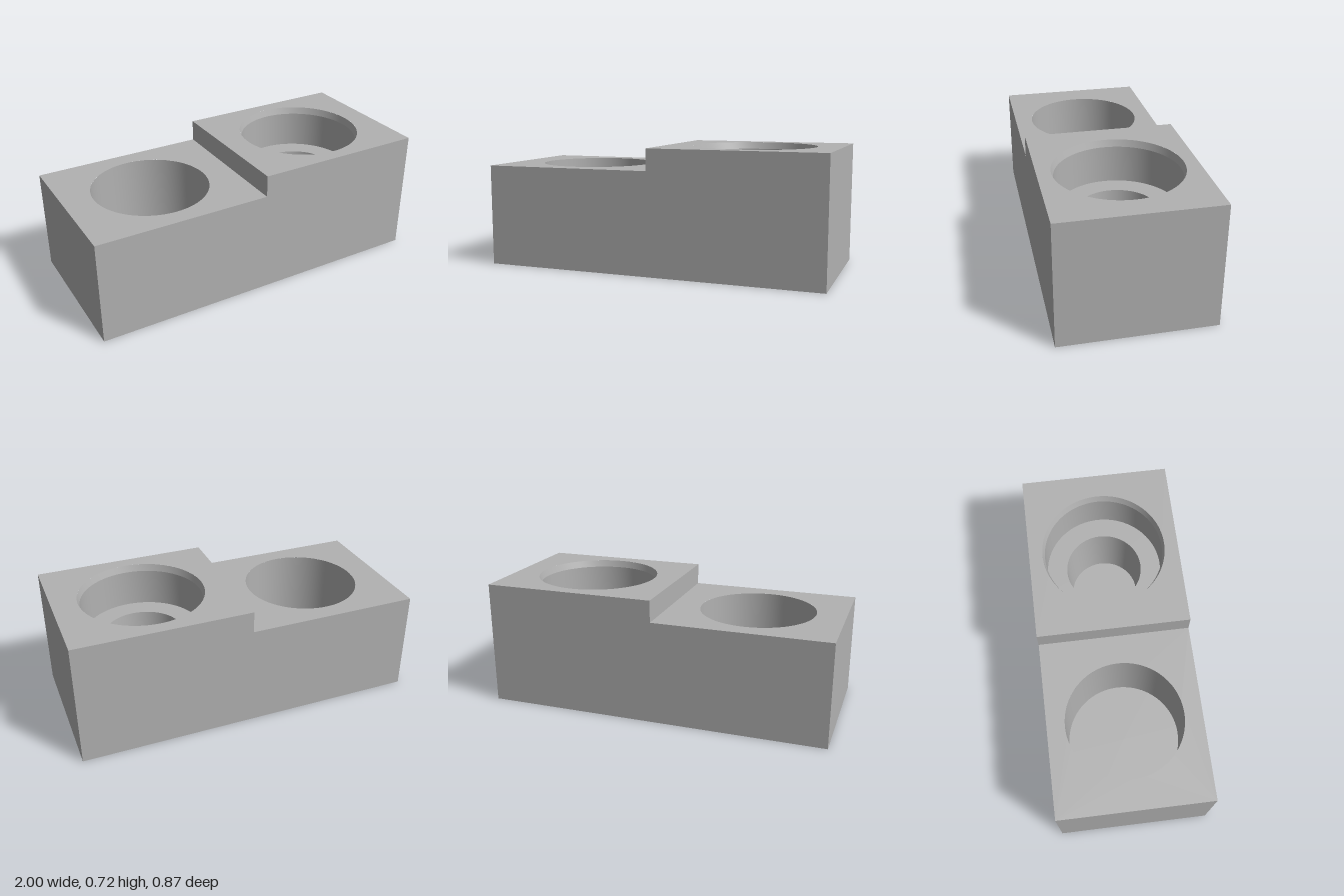
import * as THREE from 'three';
import { toCreasedNormals } from 'three/addons/utils/BufferGeometryUtils.js';

const SEGMENTS = 96;
const HALF_LENGTH = 1, HALF_DEPTH = 0.435, LOW = 0.595, HIGH = 0.72;

export function createModel() {
  const model = new THREE.Group();
  const grey = new THREE.MeshStandardMaterial({ color: 0xb2b2b2 });

  function add(name, geometry, position, rotation = [0, 0, 0]) {
    const mesh = new THREE.Mesh(geometry, grey);
    mesh.name = name;
    mesh.position.set(...position);
    mesh.rotation.set(...rotation);
    model.add(mesh);
  }

  // Stepped front and back walls
  const outline = new THREE.Shape([
    [-HALF_LENGTH, 0], [HALF_LENGTH, 0], [HALF_LENGTH, HIGH],
    [0, HIGH], [0, LOW], [-HALF_LENGTH, LOW],
  ].map(([x, y]) => new THREE.Vector2(x, y)));
  const mirrored = new THREE.Shape(outline.getPoints().map((p) => new THREE.Vector2(-p.x, p.y)));
  add('frontWall', new THREE.ShapeGeometry(outline), [0, 0, HALF_DEPTH]);
  add('backWall', new THREE.ShapeGeometry(mirrored), [0, 0, -HALF_DEPTH], [0, Math.PI, 0]);

  // End walls, step riser and underside
  const wall = (height) => new THREE.PlaneGeometry(2 * HALF_DEPTH, height);
  add('tallEndWall', wall(HIGH), [HALF_LENGTH, HIGH / 2, 0], [0, Math.PI / 2, 0]);
  add('lowEndWall', wall(LOW), [-HALF_LENGTH, LOW / 2, 0], [0, -Math.PI / 2, 0]);
  add('stepRiser', wall(HIGH - LOW), [0, (HIGH + LOW) / 2, 0], [0, -Math.PI / 2, 0]);
  add('underside', new THREE.PlaneGeometry(2 * HALF_LENGTH, 2 * HALF_DEPTH), [0, 0, 0], [Math.PI / 2, 0, 0]);

  // A top face with a round opening, and the turned pocket below it.
  // The profile lists radius and height from the rim down to the floor centre.
  function addPocket(name, x, profile) {
    const [rimRadius, topHeight] = profile[0];
    const top = new THREE.Shape([[-0.5, -1], [0.5, -1], [0.5, 1], [-0.5, 1]]
      .map(([u, v]) => new THREE.Vector2(u, v * HALF_DEPTH)));
    top.holes.push(new THREE.Path().absarc(0, 0, rimRadius, 0, Math.PI * 2, true));
    add(name + 'Top', new THREE.ShapeGeometry(top, SEGMENTS), [x, topHeight, 0], [-Math.PI / 2, 0, 0]);

    const points = profile.map(([r, y]) => new THREE.Vector2(r, y));
    add(name + 'Pocket', toCreasedNormals(new THREE.LatheGeometry(points, SEGMENTS), 0.2), [x, 0, 0]);
  }

  // Plain straight pocket
  addPocket('low', -0.5, [[0.333, LOW], [0.333, 0.13], [0, 0.13]]);

  // Chamfered pocket with a ledge and a narrower tapered recess
  addPocket('tall', 0.5, [
    [0.357, HIGH], [0.345, 0.68], [0.345, 0.464],
    [0.226, 0.464], [0.206, 0.13], [0, 0.13],
  ]);

  return model;
}
